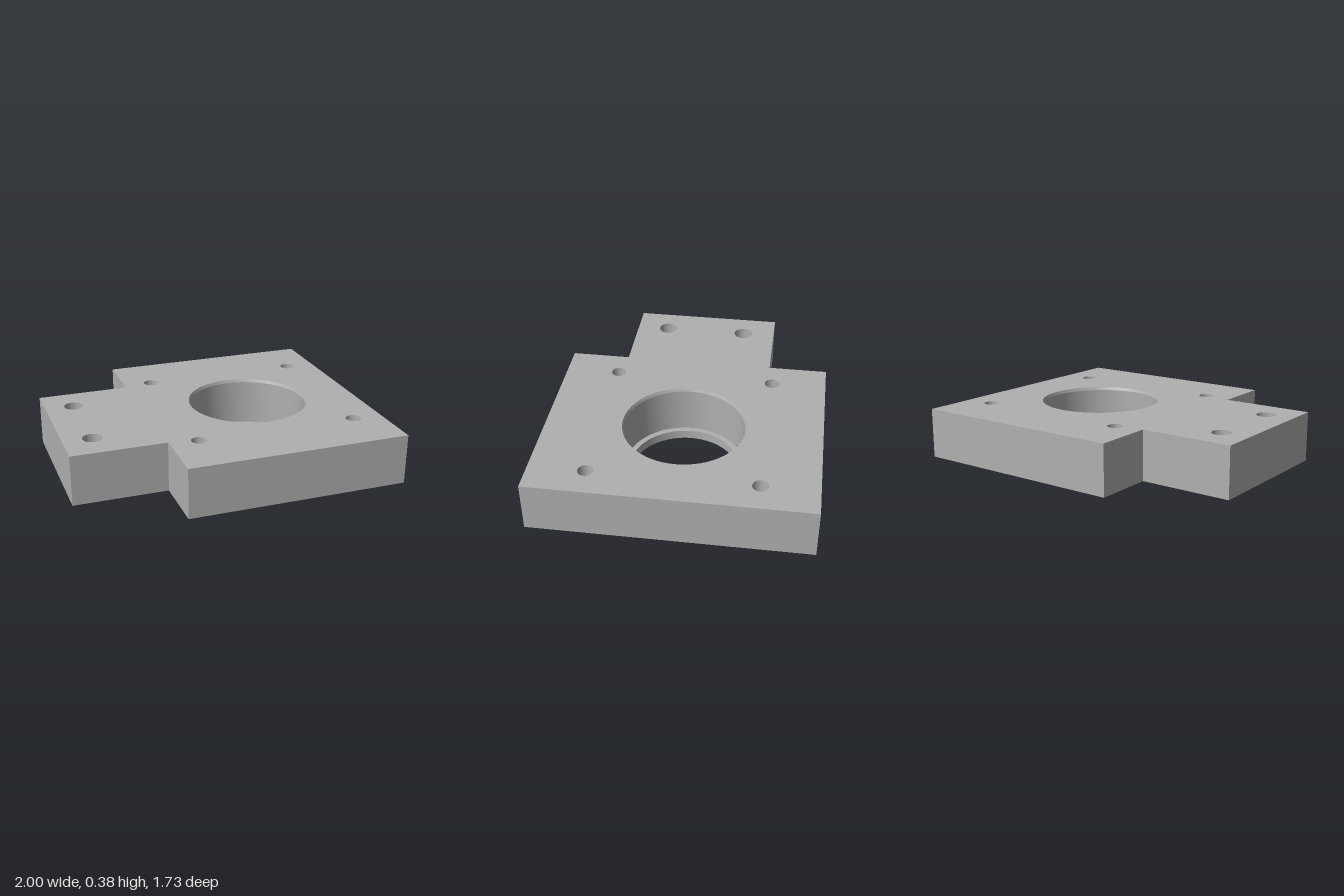
import * as THREE from 'three';
import { toCreasedNormals } from 'three/addons/utils/BufferGeometryUtils.js';

const BOTTOM = 0.06, POCKET = 0.12, TOP = 0.38; // plate levels
const BORE = { x: 0.295, r: 0.388 };
const BOLTS = [[-0.22, 0.515], [-0.22, -0.515], [0.81, 0.515], [0.81, -0.515]];
const TAB_HOLES = [[-0.815, 0.27], [-0.815, -0.27]];

function circle(x, y, r) {
  return new THREE.Path().absarc(x, y, r, 0, Math.PI * 2, true);
}

function hexagon(x, y, r) {
  const points = [];
  for (let i = 0; i < 6; i++) {
    const a = -i * Math.PI / 3;
    points.push(new THREE.Vector2(x + r * Math.cos(a), y + r * Math.sin(a)));
  }
  const path = new THREE.Path().setFromPoints(points);
  path.closePath();
  return path;
}

// Square body with a narrower tab towards -x
function plateLayer(y0, y1, holes) {
  const shape = new THREE.Shape([
    [-1, -0.485], [-0.405, -0.485], [-0.405, -0.865], [1, -0.865],
    [1, 0.865], [-0.405, 0.865], [-0.405, 0.485], [-1, 0.485],
  ].map(([x, y]) => new THREE.Vector2(x, y)));
  shape.holes.push(circle(BORE.x, 0, BORE.r), ...holes);
  const geometry = new THREE.ExtrudeGeometry(shape, {
    depth: y1 - y0, bevelEnabled: false, curveSegments: 64,
  });
  geometry.rotateX(-Math.PI / 2).translate(0, y0, 0);
  return toCreasedNormals(geometry, 0.4);
}

export function createModel() {
  const group = new THREE.Group();
  group.name = 'mountingPlate';
  const grey = new THREE.MeshStandardMaterial({ color: 0xb0b0b0 });
  grey.name = 'grey';

  const add = (name, geometry) => {
    const mesh = new THREE.Mesh(geometry, grey);
    mesh.name = name;
    group.add(mesh);
  };

  // Upper layer with the through holes
  add('upperPlate', plateLayer(POCKET, TOP, [
    ...BOLTS.map(([x, z]) => circle(x, z, 0.048)),
    ...TAB_HOLES.map(([x, z]) => circle(x, z, 0.062)),
  ]));

  // Lower layer with hexagonal nut pockets and round counterbores
  add('lowerPlate', plateLayer(BOTTOM, POCKET, [
    ...BOLTS.map(([x, z]) => hexagon(x, z, 0.085)),
    ...TAB_HOLES.map(([x, z]) => circle(x, z, 0.118)),
  ]));

  // Protruding collar, inner lip and bore wall with a chamfered rim
  const profile = [
    [0.345, 0], [0.46, 0], [0.46, BOTTOM], [BORE.r, BOTTOM], [BORE.r, TOP],
    [0.38, TOP - 0.02], [0.38, BOTTOM], [0.345, BOTTOM], [0.345, 0],
  ].map(([r, y]) => new THREE.Vector2(r, y));
  const collar = new THREE.LatheGeometry(profile, 64);
  collar.translate(BORE.x, 0, 0);
  add('boreCollar', toCreasedNormals(collar, 0.3));

  return group;
}
